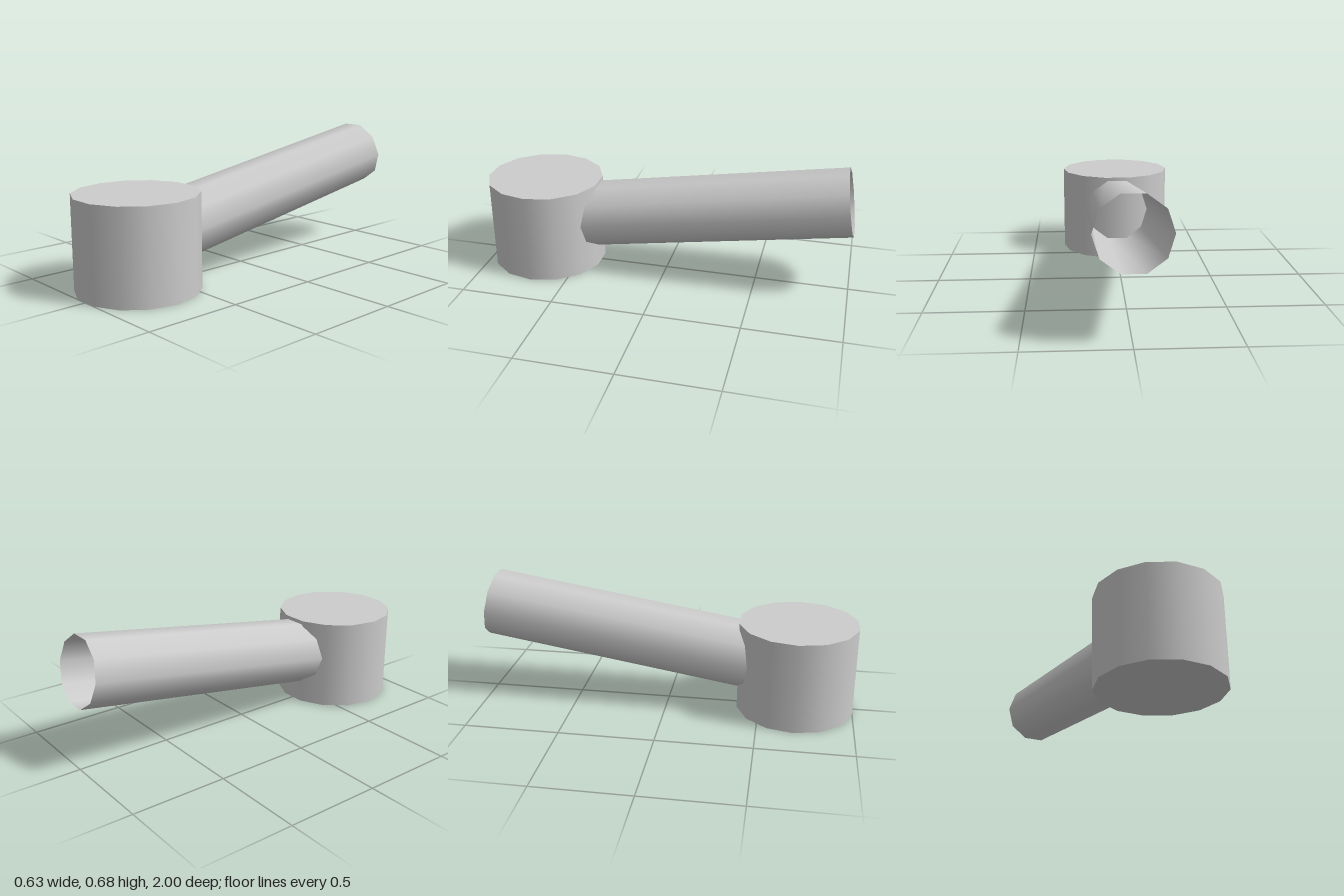
import * as THREE from 'three';

export function createModel() {
  const group = new THREE.Group();
  const grey = new THREE.MeshStandardMaterial({ color: 0xcccccc });
  grey.name = 'grey';
  const greyOpen = new THREE.MeshStandardMaterial({ color: 0xcccccc, side: THREE.DoubleSide });
  greyOpen.name = 'grey';

  // Upright drum: 14 sides with corners on the x axis
  const drumHeight = 0.487;
  const drumGeo = new THREE.CylinderGeometry(0.316, 0.316, drumHeight, 14, 1, false, Math.PI / 2);
  const drum = new THREE.Mesh(drumGeo, grey);
  drum.name = 'drum';
  drum.position.set(0, drumHeight / 2, 0.691);
  group.add(drum);

  // Open ten-sided tube, rising backwards from the middle of the drum
  const end = new THREE.Vector3(0, 0.512, -0.973);
  const axis = end.clone().sub(drum.position);
  const tubeGeo = new THREE.CylinderGeometry(0.18, 0.18, axis.length(), 10, 1, true, Math.PI / 2);
  const tube = new THREE.Mesh(tubeGeo, greyOpen);
  tube.name = 'tube';
  tube.position.copy(drum.position).add(end).multiplyScalar(0.5);
  tube.rotation.x = Math.atan2(axis.z, axis.y);
  group.add(tube);

  return group;
}
